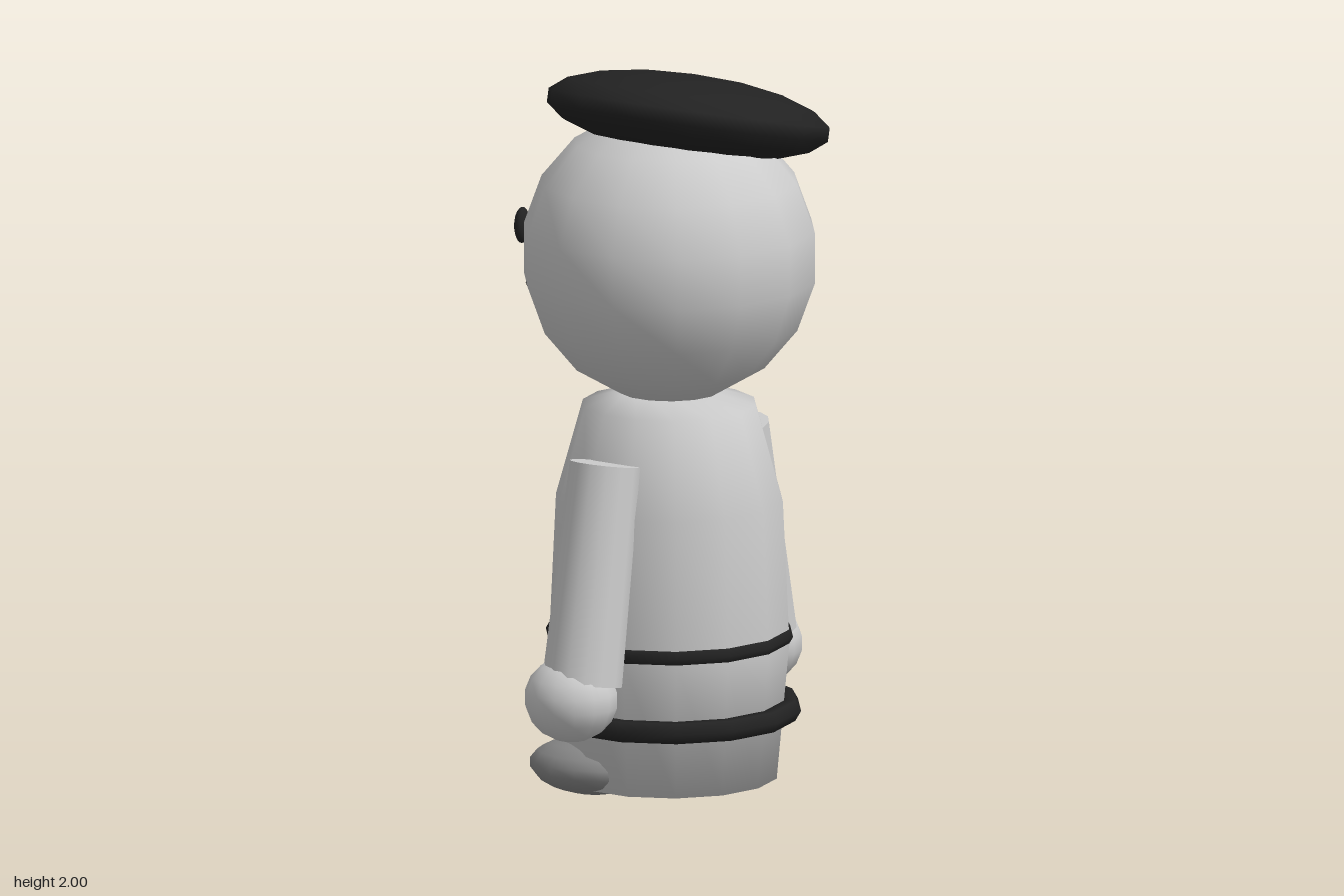
import * as THREE from 'three';

const mat = (name, color) => {
  const m = new THREE.MeshStandardMaterial({ color });
  m.name = name;
  return m;
};

export function createModel() {
  const grey = mat('light grey', 0xcccccc);
  const darkGrey = mat('dark grey', 0x888888);
  const black = mat('black', 0x222222);
  const red = mat('red', 0xa02020);
  const model = new THREE.Group();
  model.name = 'figure';

  const add = (name, geometry, material, x = 0, y = 0, z = 0) => {
    const mesh = new THREE.Mesh(geometry, material);
    mesh.name = name;
    mesh.position.set(x, y, z);
    model.add(mesh);
    return mesh;
  };
  // Low-sided smooth ellipsoid with a vertex on the z axis
  const ellipsoid = (rx, ry, rz, sides = 14, rings = 9) =>
    new THREE.SphereGeometry(1, sides, rings).rotateY(Math.PI / 2).scale(rx, ry, rz);

  // Torso with a closed base
  const profile = [[0, 0.03], [0.295, 0.03], [0.33, 0.41], [0.312, 0.8], [0.238, 1.065], [0.125, 1.098], [0, 1.098]]
    .map(([r, y]) => new THREE.Vector2(r, y));
  add('torso', new THREE.LatheGeometry(profile, 14), grey);

  // Bands around the torso
  const band = (radius, tube) => new THREE.TorusGeometry(radius, tube, 6, 14).rotateX(Math.PI / 2).rotateY(Math.PI / 2);
  add('upperBand', band(0.315, 0.025), black, 0, 0.425, 0);
  add('lowerBand', band(0.33, 0.032), black, 0, 0.22, 0);

  // Head and tilted hat
  add('head', ellipsoid(0.406, 0.406, 0.406), grey, 0, 1.48, 0);
  add('hat', ellipsoid(0.405, 0.112, 0.392), black, 0.06, 1.855, 0.02).rotation.z = -0.24;

  for (const s of [-1, 1]) {
    const side = s > 0 ? 'left' : 'right';
    // Arm leaning outwards, with a round hand
    add(side + 'Arm', new THREE.CylinderGeometry(0.097, 0.11, 0.6, 14), grey, s * 0.355, 0.655, 0).rotation.z = s * 0.18;
    add(side + 'Hand', ellipsoid(0.125, 0.118, 0.13), grey, s * 0.432, 0.318, -0.02);
    // Foot
    add(side + 'Foot', ellipsoid(0.135, 0.076, 0.178), darkGrey, s * 0.203, 0.078, -0.12);
    // Eye with a highlight
    add(side + 'Eye', ellipsoid(0.036, 0.05, 0.02), black, s * 0.15, 1.535, -0.383).rotation.y = -s * 0.3;
    add(side + 'EyeHighlight', ellipsoid(0.015, 0.015, 0.012), grey, s * 0.15 + 0.012, 1.552, -0.4);
    // Moustache half
    add(side + 'Moustache', ellipsoid(0.06, 0.025, 0.022), black, s * 0.055, 1.355, -0.393).rotation.z = s * 0.28;
  }

  add('mouth', ellipsoid(0.06, 0.022, 0.02), red, 0, 1.313, -0.37);
  return model;
}
